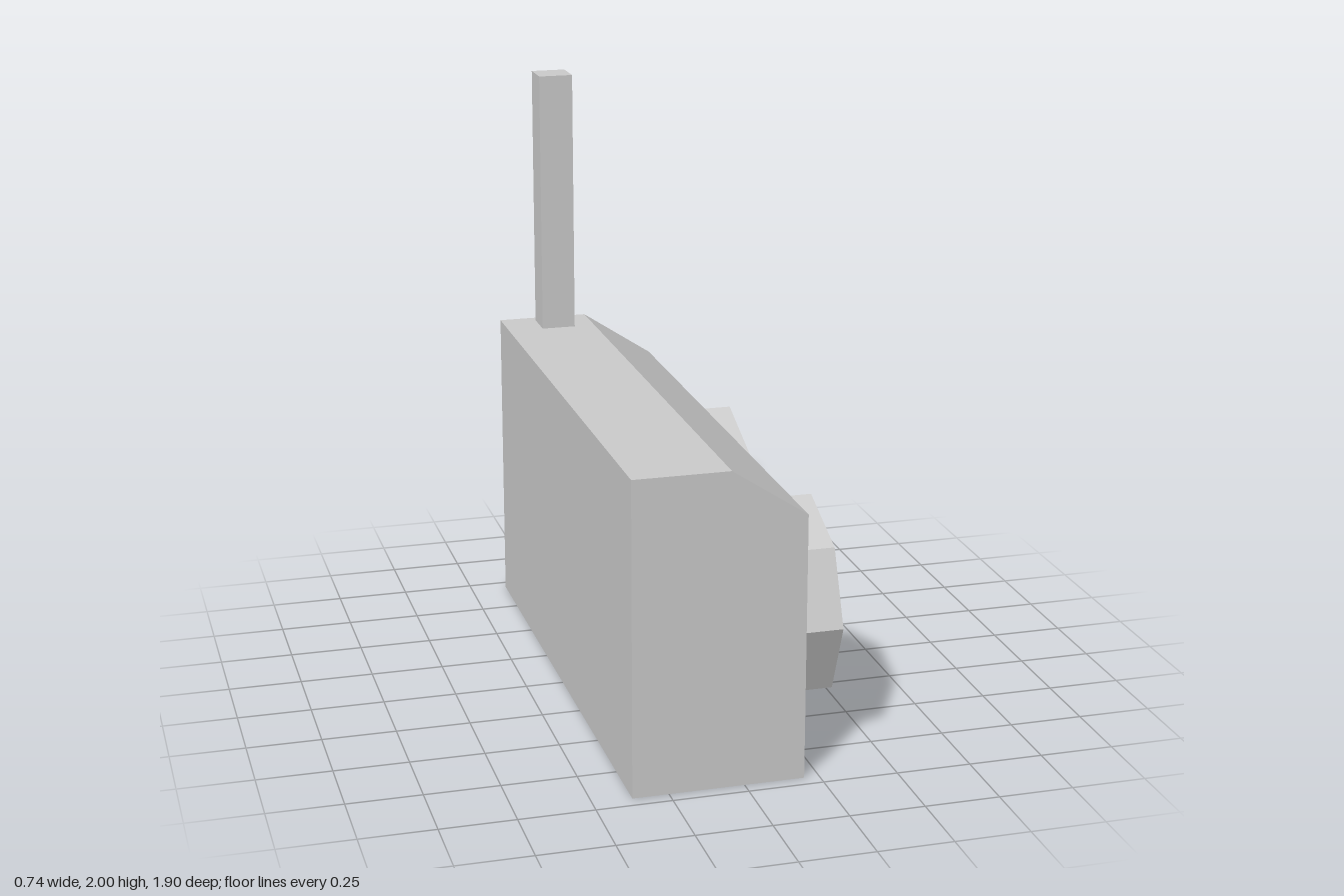
import * as THREE from 'three';

const material = new THREE.MeshStandardMaterial({ color: 0xcccccc, flatShading: true });

function addPart(group, name, geometry, x = 0, y = 0, z = 0) {
  const mesh = new THREE.Mesh(geometry, material);
  mesh.name = name;
  mesh.position.set(x, y, z);
  group.add(mesh);
  return mesh;
}

// Octagonal speaker with a raised rim and a recessed cone face, pointing to +x
function speakerGeometry(outer, inner, depth, recess) {
  const profile = [
    [0, 0], [outer, 0], [outer, depth], [inner, depth],
    [inner, depth - recess], [0, depth - recess],
  ].map(([r, h]) => new THREE.Vector2(r, h));
  return new THREE.LatheGeometry(profile, 8).rotateZ(-Math.PI / 2);
}

export function createModel() {
  const radio = new THREE.Group();
  radio.name = 'radio';

  // Case: side profile with a sloped upper edge, extruded along z
  const length = 1.905;
  const profile = new THREE.Shape([
    [-0.37, 0], [0.2, 0], [0.2, 0.895], [-0.05, 1.06], [-0.37, 1.06],
  ].map(([x, y]) => new THREE.Vector2(x, y)));
  const caseGeometry = new THREE.ExtrudeGeometry(profile, { depth: length, bevelEnabled: false });
  addPart(radio, 'case', caseGeometry, 0, 0, -length / 2);

  // Speakers on the +x face, the rear one slightly larger
  addPart(radio, 'frontSpeaker', speakerGeometry(0.345, 0.265, 0.163, 0.07), 0.2, 0.45, 0.495);
  addPart(radio, 'rearSpeaker', speakerGeometry(0.364, 0.28, 0.168, 0.07), 0.2, 0.45, -0.447);

  // Antenna
  addPart(radio, 'antenna', new THREE.BoxGeometry(0.12, 0.927, 0.12), -0.195, 1.5365, -0.81);

  return radio;
}
